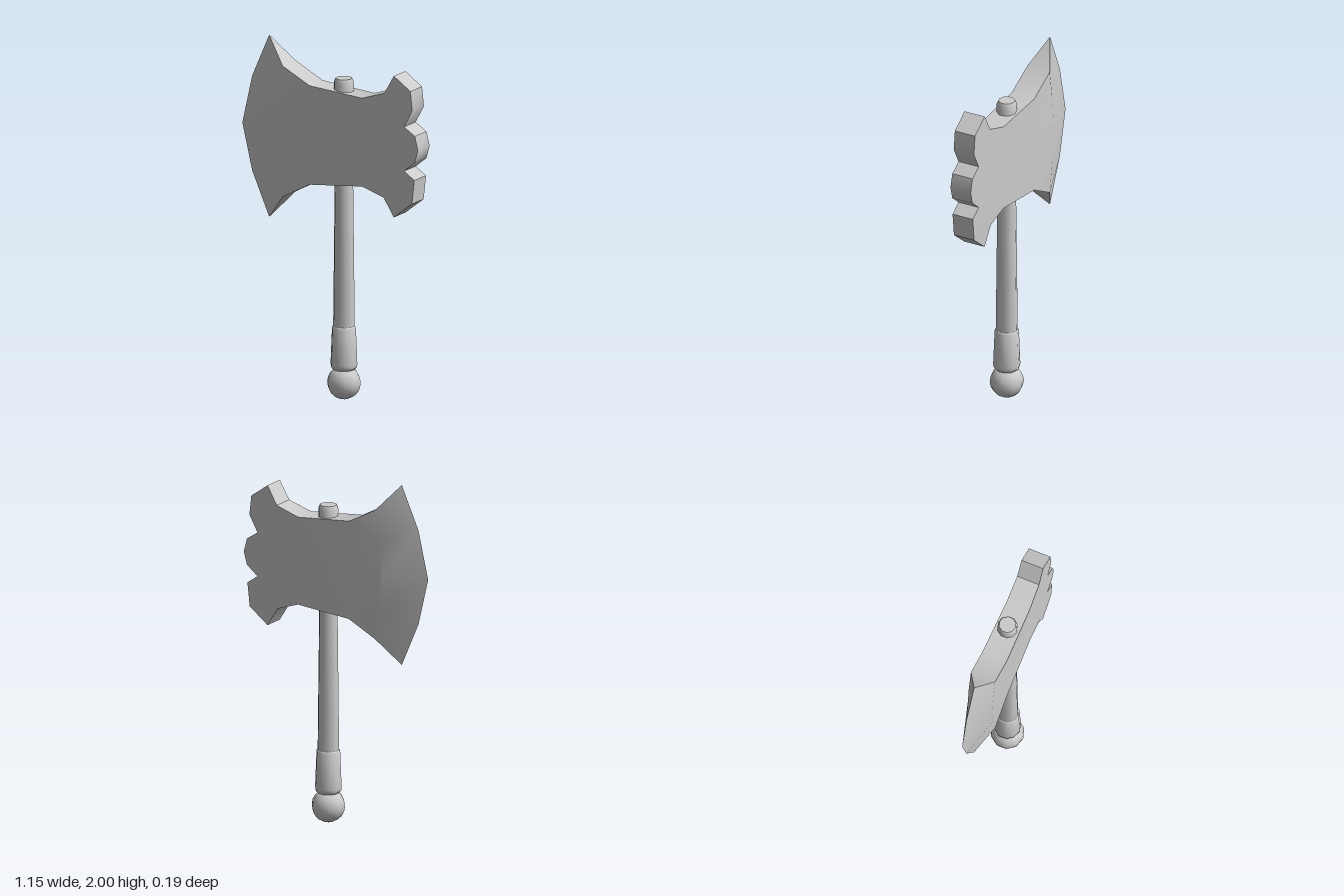
import * as THREE from 'three';
import { toCreasedNormals } from 'three/addons/utils/BufferGeometryUtils.js';

const material = new THREE.MeshStandardMaterial({ color: 0xcccccc });
const SHAFT_X = 0.067;

function addMesh(group, name, geometry, crease) {
  const mesh = new THREE.Mesh(toCreasedNormals(geometry, crease), material);
  mesh.name = name;
  group.add(mesh);
  return mesh;
}

// Ten-sided turned part, profile given bottom to top as [radius, y]
function addTurned(group, name, profile) {
  const points = profile.map(([r, y]) => new THREE.Vector2(r, y));
  addMesh(group, name, new THREE.LatheGeometry(points, 10), 0.75).position.x = SHAFT_X;
}

function axeHeadGeometry() {
  // Where the full thickness ends and the bevel begins, top to bottom
  const shoulder = [[-0.28, 1.855], [-0.31, 1.67], [-0.325, 1.483], [-0.31, 1.3], [-0.28, 1.115]];
  // Sharp cutting edge, top to bottom
  const edge = [[-0.407, 2], [-0.515, 1.755], [-0.577, 1.483], [-0.515, 1.22], [-0.407, 0.97]];
  // Rest of the outline: underside, scalloped hammer end, upper side
  const rest = [
    [-0.11, 1.205], [0.22, 1.235], [0.355, 1.19], [0.42, 1.085], [0.535, 1.175],
    [0.55, 1.31], [0.485, 1.355], [0.553, 1.41], [0.573, 1.483], [0.553, 1.56],
    [0.485, 1.605], [0.537, 1.7], [0.525, 1.81], [0.42, 1.885], [0.36, 1.78],
    [0.22, 1.735], [-0.11, 1.765],
  ];
  const outline = [...shoulder, ...rest];
  const half = (x) => 0.072 - 0.008 * THREE.MathUtils.clamp(x / 0.4, 0, 1);
  const front = ([x, y]) => [x, y, half(x)];
  const back = ([x, y]) => [x, y, -half(x)];
  const sharp = ([x, y]) => [x, y, 0];

  const positions = [];
  const tri = (a, b, c) => positions.push(...a, ...b, ...c);
  const quad = (a, b, c, d) => { tri(a, b, c); tri(a, c, d); };

  // Flat cheeks
  const contour = outline.map(([x, y]) => new THREE.Vector2(x, y));
  for (const [i, j, k] of THREE.ShapeUtils.triangulateShape(contour, [])) {
    const [a, b, c] = [outline[i], outline[j], outline[k]];
    tri(front(a), front(b), front(c));
    tri(back(c), back(b), back(a));
  }
  // Rim around everything but the shoulder
  for (let i = shoulder.length - 1; i < outline.length; i++) {
    const a = outline[i], b = outline[(i + 1) % outline.length];
    quad(front(a), back(a), back(b), front(b));
  }
  // Bevels down to the cutting edge
  for (let i = 0; i < edge.length - 1; i++) {
    const [s, t, e, f] = [shoulder[i], shoulder[i + 1], edge[i], edge[i + 1]];
    quad(front(s), sharp(e), sharp(f), front(t));
    quad(back(t), sharp(f), sharp(e), back(s));
  }
  // Tapering ends of the blade
  tri(front(shoulder[0]), back(shoulder[0]), sharp(edge[0]));
  tri(back(shoulder[4]), front(shoulder[4]), sharp(edge[4]));

  const geometry = new THREE.BufferGeometry();
  geometry.setAttribute('position', new THREE.Float32BufferAttribute(positions, 3));
  return geometry;
}

export function createModel() {
  const group = new THREE.Group();
  group.name = 'battleAxe';

  addMesh(group, 'axeHead', axeHeadGeometry(), 0.7);

  addTurned(group, 'shaft', [
    [0.061, 0.38], [0.052, 1.2], [0.055, 1.7], [0.056, 1.795], [0.047, 1.815], [0, 1.815],
  ]);
  addTurned(group, 'grip', [
    [0, 0.165], [0.058, 0.168], [0.073, 0.182], [0.075, 0.2], [0.067, 0.405], [0.06, 0.415],
  ]);

  // Ball pommel
  const ball = [];
  for (let i = 0; i <= 10; i++) {
    const a = (i / 10) * Math.PI;
    ball.push([0.094 * Math.sin(a), 0.094 - 0.094 * Math.cos(a)]);
  }
  addTurned(group, 'pommel', ball);

  return group;
}
